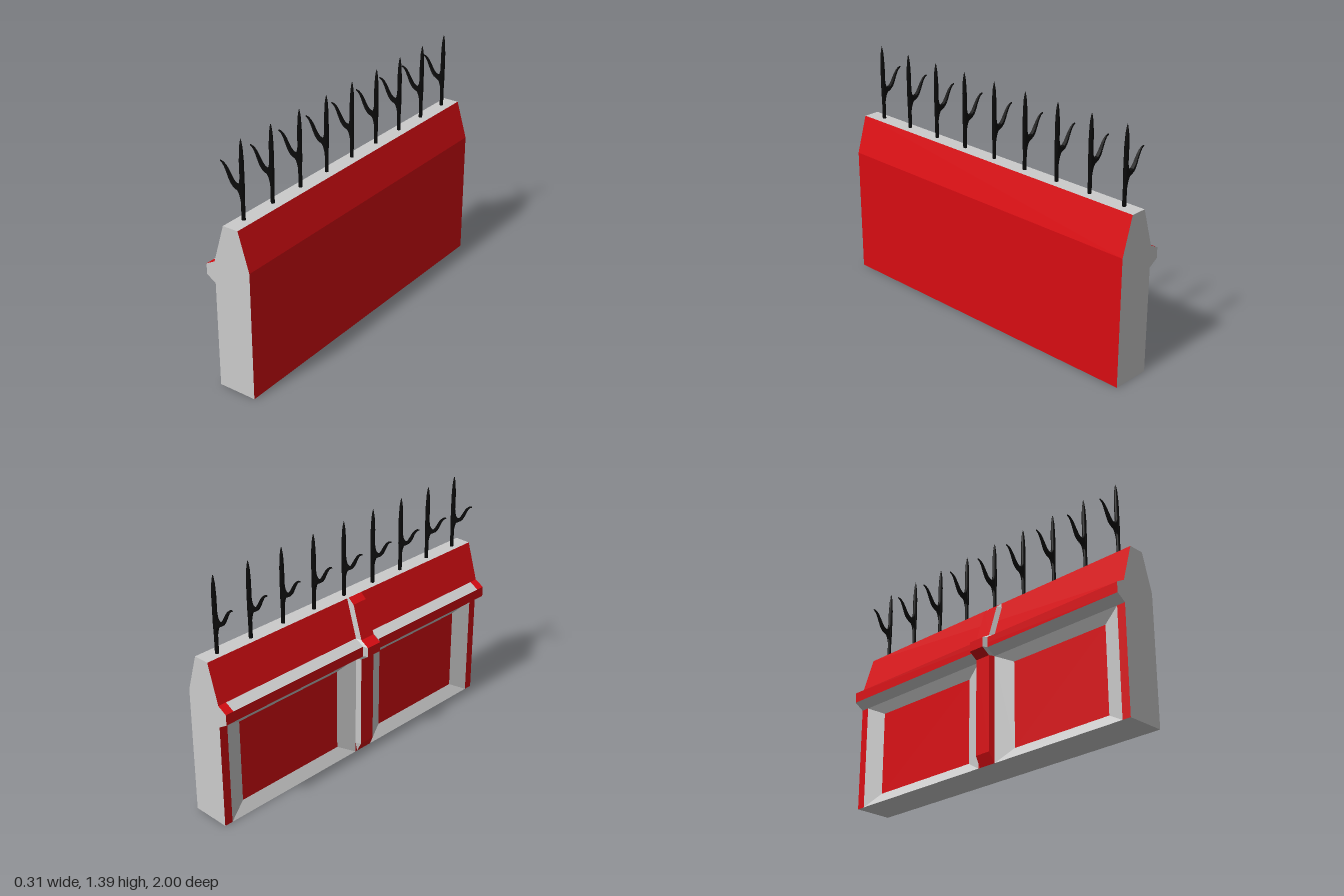
import * as THREE from 'three';

const grey = new THREE.MeshStandardMaterial({ color: 0xcccccc, flatShading: true });
const red = new THREE.MeshStandardMaterial({ color: 0xd80c12, flatShading: true });
const black = new THREE.MeshStandardMaterial({ color: 0x0a0a0a });

// Mesh made of flat four-cornered faces, corners counter-clockwise from outside
function faces(name, material, quads) {
  const pos = quads.flatMap(([a, b, c, d]) => [a, b, c, a, c, d].flat());
  const geo = new THREE.BufferGeometry();
  geo.setAttribute('position', new THREE.Float32BufferAttribute(pos, 3));
  geo.computeVertexNormals();
  const mesh = new THREE.Mesh(geo, material);
  mesh.name = name;
  return mesh;
}

// Sweep of one profile edge a-b along z
const sweep = (a, b, z0, z1) => [[...a, z0], [...b, z0], [...b, z1], [...a, z1]];

// Upright rectangle facing -x, as four corners
const rect = (x, z0, z1, y0, y1) => [[x, y0, z0], [x, y0, z1], [x, y1, z1], [x, y1, z0]];

const FACE = -0.075, LEDGE = 0.61, RIM = 0.95;
const PILLAR = [-0.022, 0.098];

function buildWall() {
  const wall = new THREE.Group();
  wall.name = 'wall';
  const p = [[FACE, 0], [0.15, 0], [0.15, 0.74], [0.085, 0.955], [-0.008, 0.955],
    [FACE, 0.735], [-0.13, 0.705], [-0.13, 0.645], [FACE, LEDGE]];
  const edge = (i, z0 = -1, z1 = 1) => sweep(p[i], p[i + 1], z0, z1);

  wall.add(faces('plainSide', red, [edge(1), edge(2)]));
  wall.add(faces('baseAndTop', grey, [edge(0), edge(3)]));
  wall.add(faces('upperSlope', red, [edge(4)]));
  wall.add(faces('ledgeSlopes', grey, [edge(5, -RIM, RIM), edge(7)]));
  wall.add(faces('ledgeFront', red, [edge(6), edge(5, -1, -RIM), edge(5, RIM, 1)]));

  // End walls
  const endGeo = new THREE.ShapeGeometry(new THREE.Shape(p.map(([x, y]) => new THREE.Vector2(x, y))));
  for (const side of [-1, 1]) {
    const end = new THREE.Mesh(endGeo, grey);
    end.name = 'endWall';
    end.position.z = side;
    if (side < 0) {
      end.geometry = endGeo.clone().scale(-1, 1, 1);
      // mirrored outline turned about y faces -z
      const ix = end.geometry.index;
      for (let i = 0; i < ix.count; i += 3) {
        const t = ix.getX(i);
        ix.setX(i, ix.getX(i + 1));
        ix.setX(i + 1, t);
      }
      end.rotation.y = Math.PI;
    }
    wall.add(end);
  }

  // Narrow rim at each end and behind the pilaster
  const strips = [[-1, -RIM], PILLAR, [RIM, 1]];
  wall.add(faces('panelRims', red, strips.map(([a, b]) => rect(FACE, a, b, 0, LEDGE))));

  // Recessed panels with splayed surrounds
  for (const [a, b] of [[-RIM, PILLAR[0]], [PILLAR[1], RIM]]) {
    const outer = rect(FACE, a, b, 0, LEDGE);
    const inner = rect(FACE + 0.038, a + 0.11, b - 0.11, 0.065, 0.555);
    wall.add(faces('panelSurround', grey, outer.map((o, i) => {
      const j = (i + 1) % 4;
      return [o, outer[j], inner[j], inner[i]];
    })));
    wall.add(faces('panel', red, [inner]));
  }
  return wall;
}

// Pilaster that follows the wall profile, with tapered flanks
function buildPilaster() {
  const pilaster = new THREE.Group();
  pilaster.name = 'pilaster';
  const front = [[-0.008, 0.955], [-0.045, 0.925], [-0.105, 0.73], [-0.155, 0.70],
    [-0.155, 0.645], [-0.105, LEDGE], [-0.105, 0.06], [FACE, 0]];
  const back = [[-0.008, 0.955], [-0.017, 0.925], [FACE, 0.735], [-0.13, 0.705],
    [-0.13, 0.645], [FACE, LEDGE], [FACE, 0.06], [FACE, 0]];
  const [z0, z1] = PILLAR, inset = 0.012;
  const face = [], near = [], far = [];
  for (let i = 0; i < front.length - 1; i++) {
    const flank = (zf, zb) => [[...front[i], zf], [...front[i + 1], zf], [...back[i + 1], zb], [...back[i], zb]];
    face.push(sweep(front[i], front[i + 1], z0 + inset, z1 - inset));
    near.push(flank(z1 - inset, z1));
    far.push(flank(z0 + inset, z0).reverse());
  }
  pilaster.add(faces('pilasterFront', red, face));
  pilaster.add(faces('pilasterUpperFlanks', grey, [...near.slice(0, 5), ...far]));
  pilaster.add(faces('pilasterLowerFlank', red, near.slice(5)));
  return pilaster;
}

// Pointed upright with a curved side barb
function buildSpikes() {
  const spikes = new THREE.Group();
  spikes.name = 'spikes';
  const shaftGeo = new THREE.LatheGeometry([[0.0105, 0.94], [0.0105, 1.05], [0.0125, 1.12], [0.0125, 1.27],
    [0.009, 1.34], [0.004, 1.375], [0, 1.39]].map(([x, y]) => new THREE.Vector2(x, y)), 10);

  const s = new THREE.Shape();
  s.moveTo(0.03, 1.04);
  s.bezierCurveTo(0.02, 1.10, 0.012, 1.113, -0.005, 1.116);
  s.bezierCurveTo(-0.055, 1.135, -0.062, 1.225, -0.105, 1.236);
  s.lineTo(-0.102, 1.242);
  s.bezierCurveTo(-0.05, 1.238, -0.045, 1.14, 0, 1.137);
  s.bezierCurveTo(0.018, 1.14, 0.022, 1.16, 0.025, 1.19);
  s.lineTo(0.03, 1.19);
  const barbGeo = new THREE.ExtrudeGeometry(s, { depth: 0.02, bevelEnabled: false, curveSegments: 8 });
  barbGeo.translate(0, 0, -0.01);
  // Thin the barb towards its tip
  const pos = barbGeo.attributes.position;
  for (let i = 0; i < pos.count; i++) {
    const t = THREE.MathUtils.clamp((pos.getX(i) + 0.105) / 0.07, 0.15, 1);
    pos.setZ(i, pos.getZ(i) * t);
  }
  barbGeo.computeVertexNormals();

  for (let i = 0; i < 9; i++) {
    const spike = new THREE.Group();
    spike.name = 'spike';
    const shaft = new THREE.Mesh(shaftGeo, black);
    shaft.name = 'shaft';
    shaft.position.x = 0.032;
    const barb = new THREE.Mesh(barbGeo, black);
    barb.name = 'barb';
    spike.add(shaft, barb);
    spike.position.z = -0.903 + i * 0.2243;
    spikes.add(spike);
  }
  return spikes;
}

export function createModel() {
  const model = new THREE.Group();
  model.name = 'spikedWall';
  model.add(buildWall(), buildPilaster(), buildSpikes());
  return model;
}
